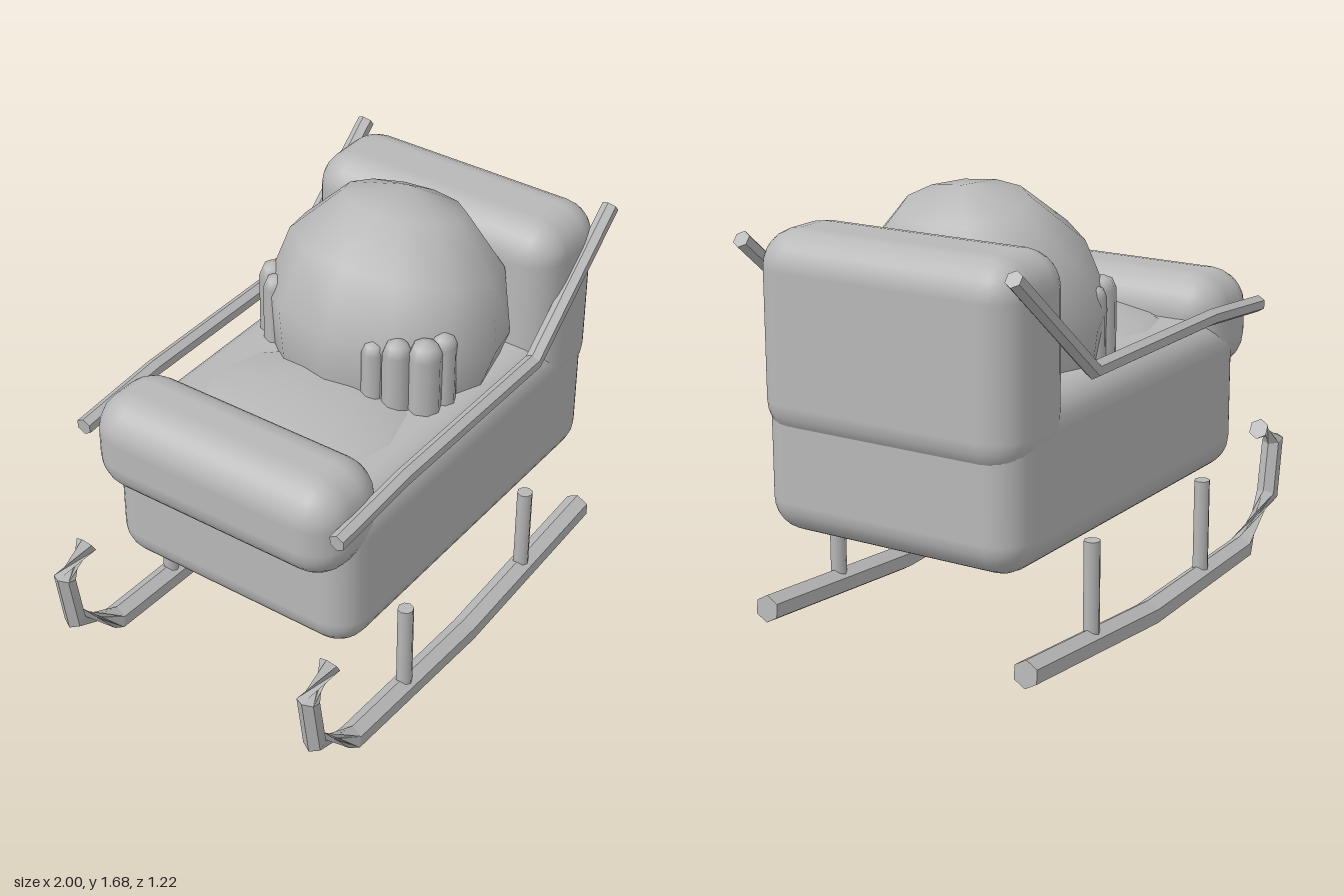
import * as THREE from 'three';
import { RoundedBoxGeometry } from 'three/addons/geometries/RoundedBoxGeometry.js';

const grey = new THREE.MeshStandardMaterial({ color: 0xb8b8b8 });
grey.name = 'plain grey';

// Six-sided bar along a bent path in the xy plane. Each point: [x, y, radius, twist]
function barGeometry(points) {
  const sides = 6;
  const rings = points.map(([x, y, r, twist = 0], i) => {
    const a = points[Math.max(i - 1, 0)];
    const b = points[Math.min(i + 1, points.length - 1)];
    const t = new THREE.Vector2(b[0] - a[0], b[1] - a[1]).normalize();
    return Array.from({ length: sides }, (_, k) => {
      const q = (k / sides) * Math.PI * 2 + twist;
      const c = Math.cos(q) * r;
      return [x - t.y * c, y + t.x * c, Math.sin(q) * r];
    });
  });
  const pos = [];
  const tri = (...corners) => corners.forEach((p) => pos.push(...p));
  for (let i = 0; i < rings.length - 1; i++) {
    for (let k = 0; k < sides; k++) {
      const n = (k + 1) % sides;
      const [a, b, c, d] = [rings[i][k], rings[i][n], rings[i + 1][n], rings[i + 1][k]];
      tri(a, b, c);
      tri(a, c, d);
    }
  }
  // End caps
  const first = rings[0];
  const last = rings[rings.length - 1];
  for (let k = 1; k < sides - 1; k++) {
    tri(first[0], first[k + 1], first[k]);
    tri(last[0], last[k], last[k + 1]);
  }
  const g = new THREE.BufferGeometry();
  g.setAttribute('position', new THREE.Float32BufferAttribute(pos, 3));
  g.computeVertexNormals();
  return g;
}

export function createModel() {
  const model = new THREE.Group();
  model.name = 'sleigh';

  const add = (name, geometry, x, y, z) => {
    const mesh = new THREE.Mesh(geometry, grey);
    mesh.name = name;
    mesh.position.set(x, y, z);
    model.add(mesh);
    return mesh;
  };
  const block = (name, x0, x1, y0, y1, halfZ, radius) =>
    add(name, new RoundedBoxGeometry(x1 - x0, y1 - y0, halfZ * 2, 3, radius),
      (x0 + x1) / 2, (y0 + y1) / 2, 0);

  // Padded tub, backrest and front roll
  block('body', -0.7, 0.95, 0.44, 1.06, 0.546, 0.13);
  block('backrest', 0.565, 0.975, 0.8, 1.56, 0.55, 0.14);
  block('frontRoll', -0.82, -0.44, 0.82, 1.22, 0.546, 0.15);

  // Low cushion on the seat
  const cushion = add('cushion', new THREE.SphereGeometry(1, 12, 8), -0.22, 0.95, 0);
  cushion.scale.set(0.5, 0.17, 0.52);

  // Plump leaning sack
  const sack = add('sack', new THREE.SphereGeometry(1, 12, 6), 0.32, 1.2, 0);
  sack.scale.set(0.42, 0.5, 0.49);
  sack.rotation.z = -0.24;

  // Bunches of stubby rolls beside the sack: [x, z, radius, top]
  const bunches = [
    [[-0.03, 0.18, 0.045, 1.32], [-0.01, 0.27, 0.055, 1.35], [0.04, 0.36, 0.065, 1.355],
      [0.125, 0.385, 0.05, 1.35]],
    [[0.09, -0.35, 0.05, 1.34], [0.14, -0.4, 0.055, 1.355], [0.21, -0.41, 0.045, 1.33]],
  ];
  for (const bunch of bunches) {
    for (const [x, z, r, top] of bunch) {
      const height = top - 1.0;
      add('stubbyRoll', new THREE.CapsuleGeometry(r, height - 2 * r, 2, 8), x, 1.0 + height / 2, z);
    }
  }

  // Handrails, runners with curled tips, and posts on both sides
  const rail = barGeometry([
    [-0.79, 1.07, 0.033], [-0.39, 1.1, 0.033], [0.47, 1.1, 0.034], [0.98, 1.525, 0.033],
  ]);
  const runner = barGeometry([
    [0.91, 0.122, 0.053], [0.06, 0.055, 0.053], [-0.7, 0.083, 0.05],
    [-0.925, 0.245, 0.043, 2.1], [-0.96, 0.47, 0.042, 2.1], [-0.83, 0.545, 0.042, 4.2],
  ]);
  const post = new THREE.CylinderGeometry(0.031, 0.031, 0.36, 8);
  for (const side of [1, -1]) {
    const z = 0.563 * side;
    add('handrail', rail, 0, 0, z);
    add('runner', runner, 0, 0, z);
    for (const x of [-0.355, 0.47]) add('post', post, x, x < 0 ? 0.285 : 0.295, z);
  }
  return model;
}
